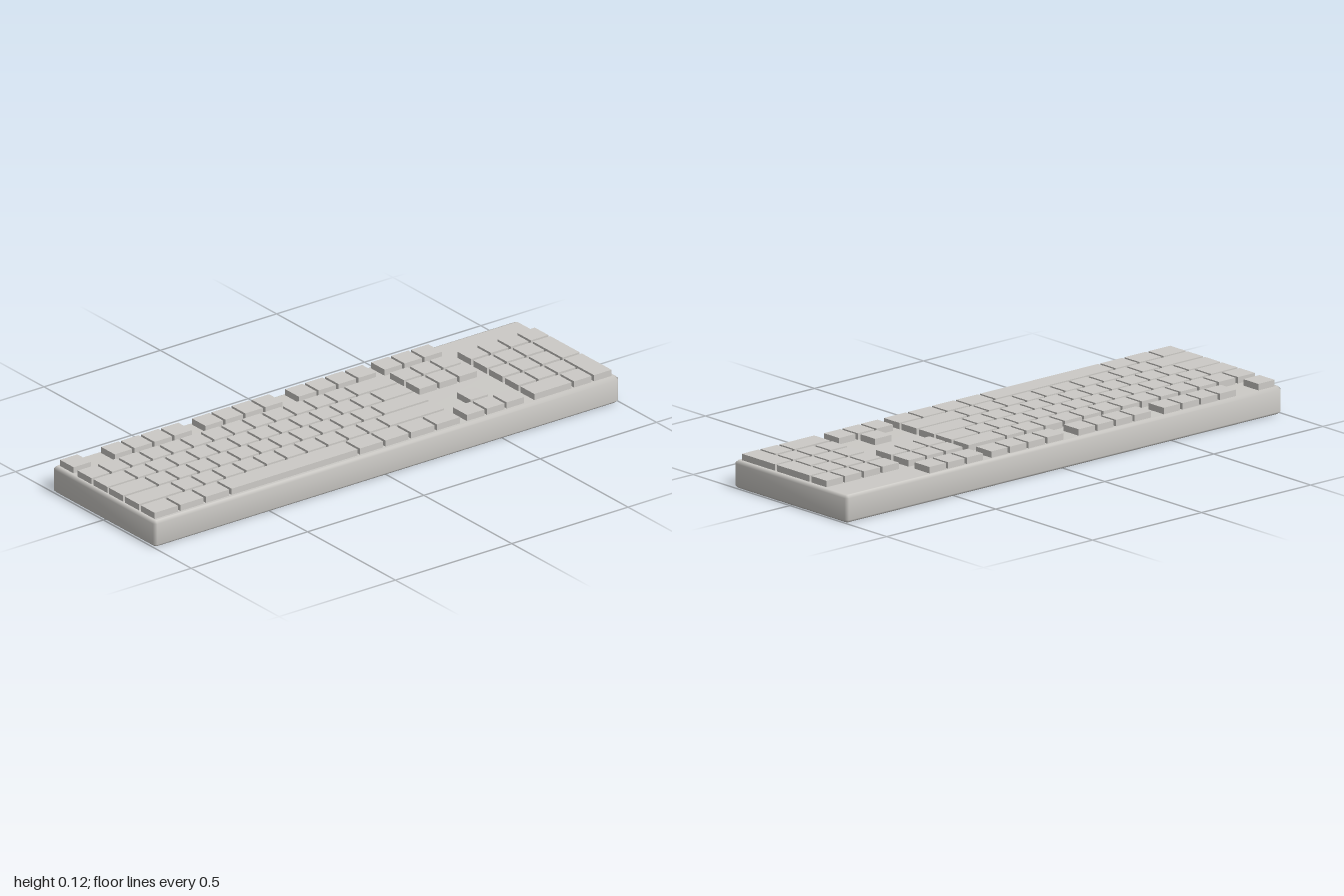
import * as THREE from 'three';
import { mergeVertices } from 'three/addons/utils/BufferGeometryUtils.js';

const grey = new THREE.MeshStandardMaterial({ color: 0xcccac6 });
grey.name = 'warm light grey';

const TOP = 0.098, KEY_TOP = 0.121;
const UNIT = 0.0882, GAP = 0.0107, LEFT = -0.984; // typing block
const SMALL = 0.075, PITCH = 0.0856;              // top row, navigation and number keys
const DEPTH = 0.079;
const rowZ = [-0.167, -0.077, 0.012, 0.102, 0.192]; // back edge of each row

// Case: chamfered slab with smoothed normals
function caseGeometry() {
  const c = 0.01, x = 1 - c, z = 0.293 - c, k = 0.005;
  const outline = [[x, z - k], [x - k, z], [k - x, z], [-x, z - k], [-x, k - z], [k - x, -z], [x - k, -z], [x, k - z]];
  const shape = new THREE.Shape(outline.map(p => new THREE.Vector2(...p)));
  const geo = new THREE.ExtrudeGeometry(shape, {
    depth: TOP - 2 * c, bevelEnabled: true, bevelSize: c, bevelThickness: c, bevelSegments: 1,
  });
  geo.rotateX(-Math.PI / 2).translate(0, c, 0);
  geo.deleteAttribute('normal');
  geo.deleteAttribute('uv');
  const smooth = mergeVertices(geo, 1e-4);
  smooth.computeVertexNormals();
  return smooth;
}

// Key given by its left and back edges
function addKey(group, name, x, z, w, d = DEPTH) {
  const base = TOP - 0.004;
  const key = new THREE.Mesh(new THREE.BoxGeometry(w, KEY_TOP - base, d), grey);
  key.position.set(x + w / 2, (KEY_TOP + base) / 2, z + d / 2);
  key.name = name;
  group.add(key);
}

function section(parent, name) {
  const g = new THREE.Group();
  g.name = name;
  parent.add(g);
  return g;
}

export function createModel() {
  const model = new THREE.Group();
  model.name = 'keyboard';
  const body = new THREE.Mesh(caseGeometry(), grey);
  body.name = 'case';
  model.add(body);

  // Typing block: key widths in units, row by row
  const typing = section(model, 'typingKeys');
  const ones = n => Array(n).fill(1);
  const rows = [
    [...ones(13), 2],
    [1.5, ...ones(12), 1.5],
    [1.75, ...ones(11), 2.25],
    [2.25, ...ones(10), 2.75],
    [1.25, 1.25, 1.25, 6.25, 1.25, 1.25, 1.25, 1.25],
  ];
  rows.forEach((widths, r) => {
    let x = LEFT;
    for (const w of widths) {
      addKey(typing, w > 6 ? 'spaceBar' : 'typingKey', x, rowZ[r], w * UNIT - GAP);
      x += w * UNIT;
    }
  });

  // Top row: one single key and three groups of four
  const topRow = section(model, 'topRowKeys');
  const backZ = -0.275, backDepth = 0.078;
  addKey(topRow, 'escapeKey', -0.979, backZ, SMALL, backDepth);
  for (const start of [-0.802, -0.412, -0.011])
    for (let i = 0; i < 4; i++) addKey(topRow, 'topRowKey', start + i * PITCH, backZ, SMALL, backDepth);

  // Navigation block and arrows
  const nav = section(model, 'navigationKeys');
  for (let i = 0; i < 3; i++) {
    const x = 0.358 + i * PITCH;
    addKey(nav, 'systemKey', x, backZ, SMALL, backDepth);
    addKey(nav, 'navigationKey', x, rowZ[0], SMALL);
    addKey(nav, 'navigationKey', x, rowZ[1], SMALL);
    addKey(nav, 'arrowKey', x, rowZ[4], SMALL);
  }
  addKey(nav, 'arrowKey', 0.358 + PITCH, rowZ[3], SMALL, 0.077);

  // Number pad with a wide zero and two tall keys
  const pad = section(model, 'numberPad');
  const padX = i => 0.647 + i * PITCH;
  for (let r = 0; r < 4; r++)
    for (let i = 0; i < 3; i++) addKey(pad, 'numberKey', padX(i), rowZ[r] + 0.002, SMALL, 0.077);
  addKey(pad, 'zeroKey', padX(0), rowZ[4] + 0.002, SMALL + PITCH, 0.078);
  addKey(pad, 'pointKey', padX(2), rowZ[4] + 0.002, SMALL, 0.078);
  addKey(pad, 'minusKey', padX(3), rowZ[0] + 0.002, SMALL, 0.077);
  addKey(pad, 'plusKey', padX(3), rowZ[1], SMALL, 0.168);
  addKey(pad, 'padEnterKey', padX(3), rowZ[3], SMALL, 0.17);

  return model;
}
